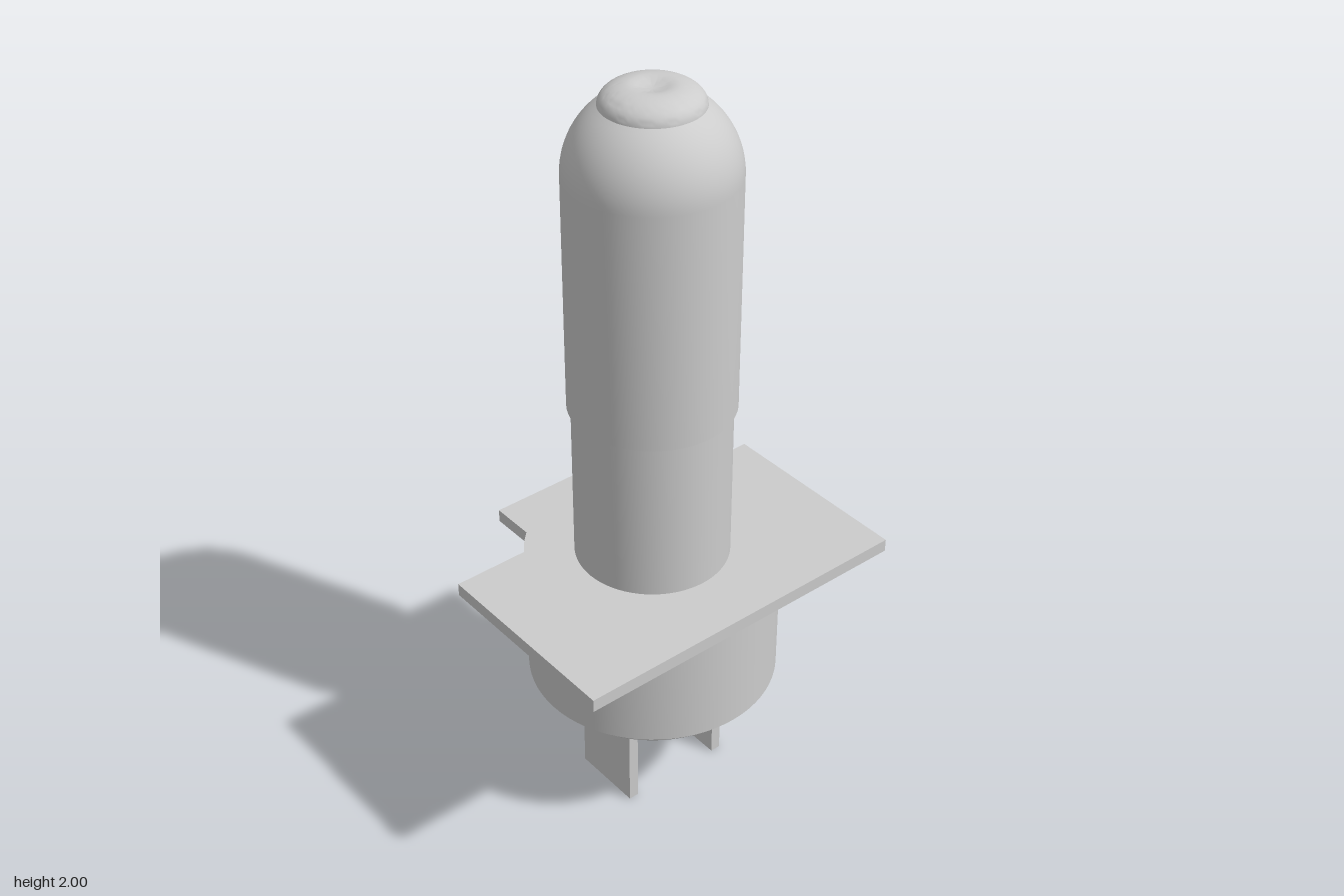
import * as THREE from 'three';
import { toCreasedNormals } from 'three/addons/utils/BufferGeometryUtils.js';

export function createModel() {
  const group = new THREE.Group();
  const grey = new THREE.MeshStandardMaterial({ color: 0xcccccc });
  grey.name = 'light grey';

  const add = (name, geometry) => {
    const mesh = new THREE.Mesh(geometry, grey);
    mesh.name = name;
    group.add(mesh);
    return mesh;
  };
  const lathe = (points) => toCreasedNormals(
    new THREE.LatheGeometry(points.map(([r, y]) => new THREE.Vector2(r, y)), 72), 0.5);

  // Round base with a chamfered bottom edge
  const baseRadius = 0.326;
  add('base', lathe([[0, 0.33], [0.295, 0.33], [baseRadius, 0.362], [baseRadius, 0.71]]));

  // Flange plate with two stepped back corners, where the base rim shows
  const a0 = Math.asin(0.182 / baseRadius);
  const a1 = Math.acos(0.218 / baseRadius);
  const outline = new THREE.Shape();
  outline.moveTo(-0.472, -0.362);
  outline.lineTo(0.472, -0.362);
  outline.lineTo(0.472, 0.182);
  outline.absarc(0, 0, baseRadius, a0, a1, false);
  outline.lineTo(0.218, 0.363);
  outline.lineTo(-0.218, 0.363);
  outline.absarc(0, 0, baseRadius, Math.PI - a1, Math.PI - a0, false);
  outline.lineTo(-0.472, 0.182);
  outline.closePath();
  const plate = new THREE.ExtrudeGeometry(outline, { depth: 0.035, bevelEnabled: false, curveSegments: 8 });
  plate.rotateX(-Math.PI / 2);
  add('flange', plate).position.y = 0.695;

  // Narrow stem between flange and bulb
  add('stem', lathe([[0.198, 0.72], [0.198, 1.18]]));

  // Bulb: straight wall, domed shoulder, small rounded tip with a dimple
  const bulbRadius = 0.208, domeY = 1.786;
  const profile = [[0.19, 1.17], [bulbRadius, 1.17]];
  const end = Math.acos(0.123 / bulbRadius);
  for (let i = 0; i <= 12; i++) {
    const a = end * i / 12;
    profile.push([bulbRadius * Math.cos(a), domeY + bulbRadius * Math.sin(a)]);
  }
  for (let i = 1; i <= 10; i++) {
    const a = (Math.PI / 2) * i / 10;
    profile.push([0.05 + 0.073 * Math.cos(a), 1.953 + 0.047 * Math.sin(a)]);
  }
  profile.push([0.036, 1.997], [0.02, 1.992], [0, 1.99]);
  add('bulb', lathe(profile));

  // Two flat contact blades
  for (const side of [-1, 1]) {
    const blade = add(side > 0 ? 'leftBlade' : 'rightBlade', new THREE.BoxGeometry(0.028, 0.34, 0.196));
    blade.position.set(side * 0.144, 0.17, 0);
  }
  return group;
}
